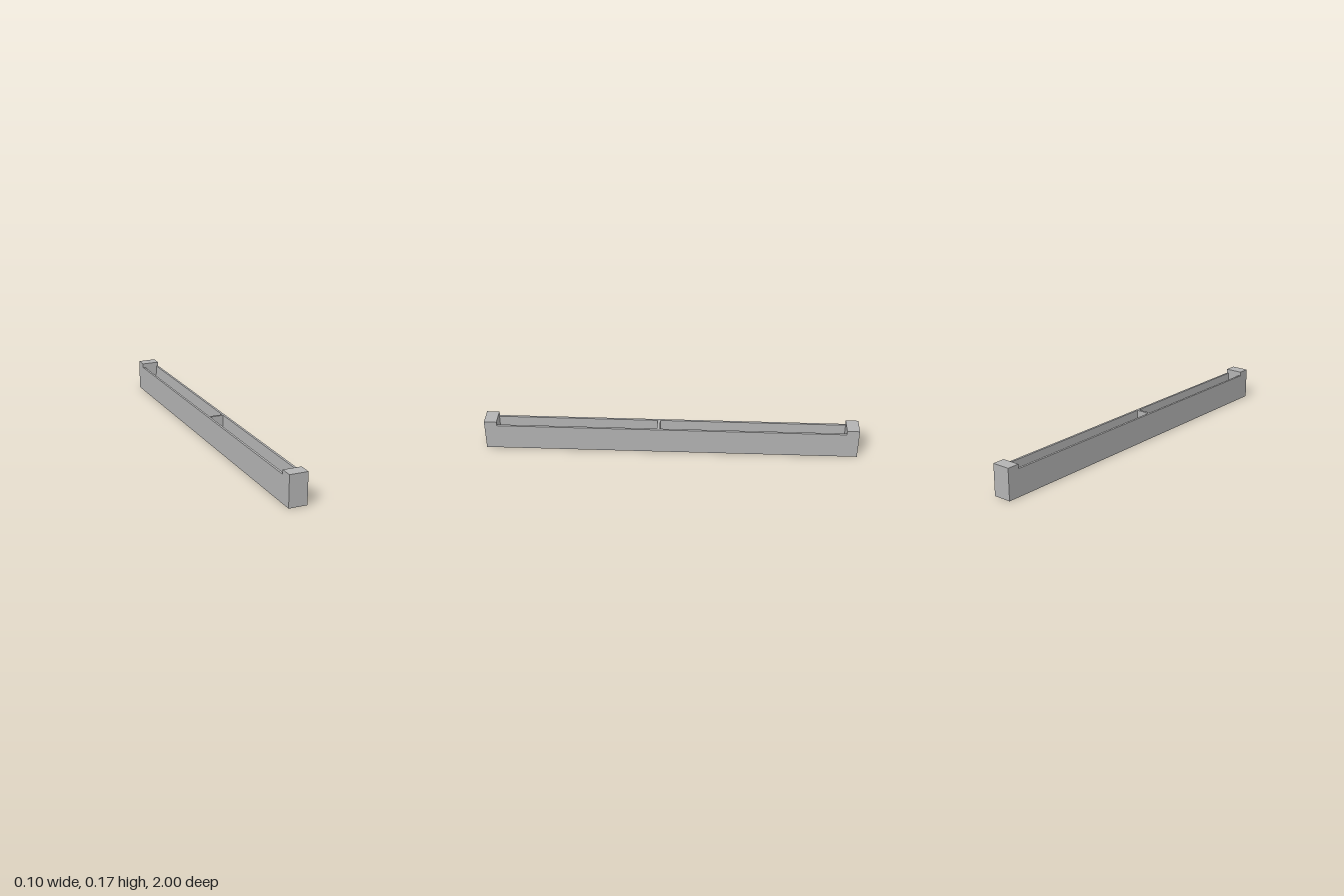
import * as THREE from 'three';

const WIDTH = 0.098, HEIGHT = 0.168, WALL_TOP = 0.145;
const END_DEPTH = 0.067, FLOOR = 0.013;
const HALF = WIDTH / 2, INNER_TOP = 0.037, INNER_BOTTOM = 0.033;

export function createModel() {
  const group = new THREE.Group();
  const grey = new THREE.MeshStandardMaterial({ color: 0xb3b3b3 });
  grey.name = 'grey';

  const add = (name, geometry, x, y, z) => {
    const mesh = new THREE.Mesh(geometry, grey);
    mesh.name = name;
    mesh.position.set(x, y, z);
    group.add(mesh);
  };

  // Long trough: U-shaped section with slightly tapered inner walls
  const section = new THREE.Shape([
    [-HALF, 0], [HALF, 0], [HALF, WALL_TOP], [INNER_TOP, WALL_TOP],
    [INNER_BOTTOM, FLOOR], [-INNER_BOTTOM, FLOOR],
    [-INNER_TOP, WALL_TOP], [-HALF, WALL_TOP],
  ].map(([x, y]) => new THREE.Vector2(x, y)));
  const length = 2 - 2 * END_DEPTH;
  add('trough', new THREE.ExtrudeGeometry(section, { depth: length, bevelEnabled: false }), 0, 0, -length / 2);

  // Raised solid blocks closing both ends
  for (const [name, side] of [['frontEndBlock', 1], ['backEndBlock', -1]]) {
    add(name, new THREE.BoxGeometry(WIDTH, HEIGHT, END_DEPTH), 0, HEIGHT / 2, side * (1 - END_DEPTH / 2));
  }

  // Thin partition fitted to the inside of the trough, just forward of centre
  const partition = new THREE.Shape([
    [-INNER_BOTTOM, FLOOR], [INNER_BOTTOM, FLOOR],
    [INNER_TOP, WALL_TOP], [-INNER_TOP, WALL_TOP],
  ].map(([x, y]) => new THREE.Vector2(x, y)));
  add('divider', new THREE.ExtrudeGeometry(partition, { depth: 0.014, bevelEnabled: false }), 0, 0, 0.06);

  return group;
}
